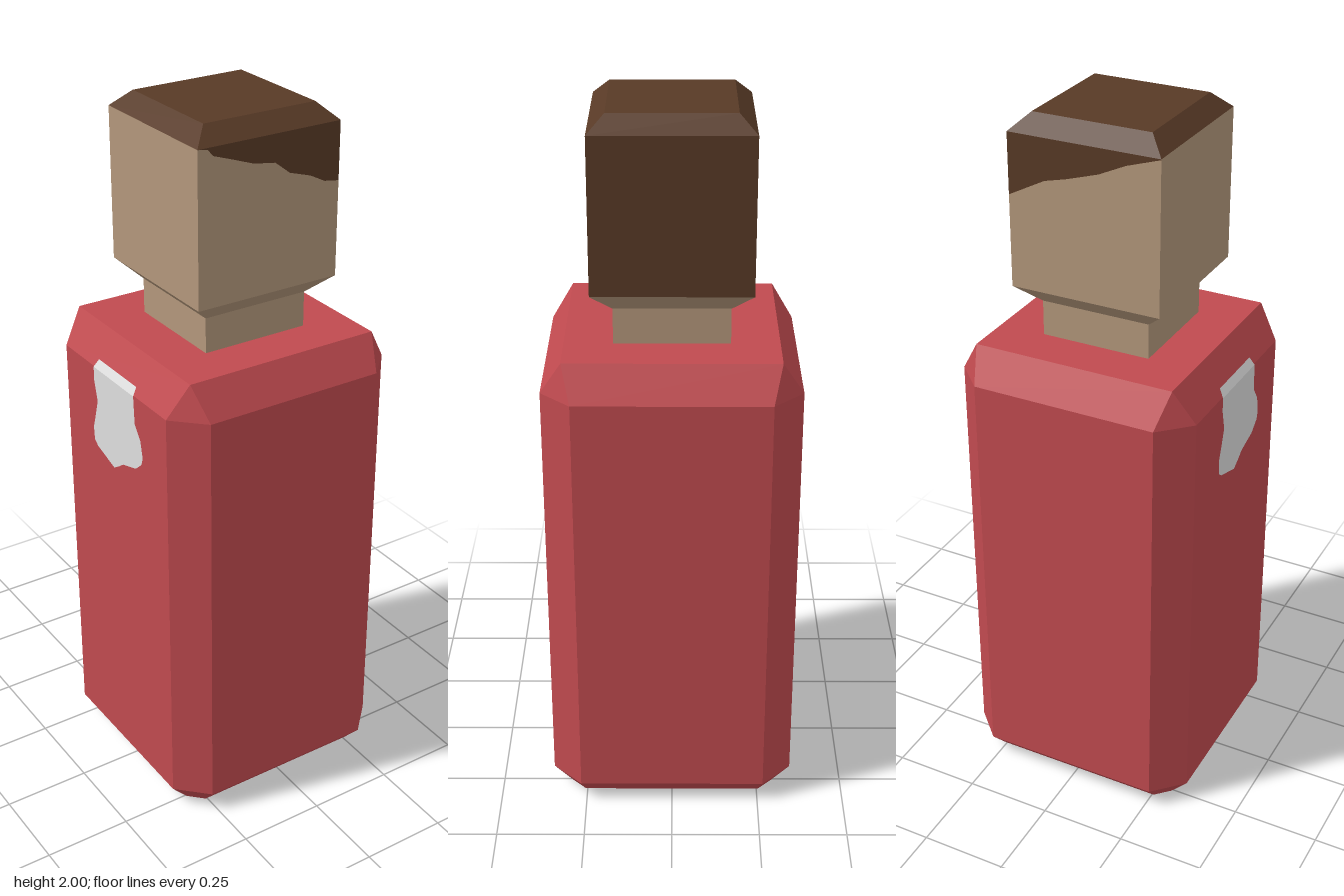
import * as THREE from 'three';

const mat = (name, color) => {
  const m = new THREE.MeshStandardMaterial({ color });
  m.name = name;
  return m;
};

// Outline of a square of half width h whose flat sides reach +-f (f = h gives sharp corners)
const ring = ([y, h, f = h]) =>
  [[h, f], [h, -f], [f, -h], [-f, -h], [-h, -f], [-h, f], [-f, h], [f, h]]
    .map(([x, z]) => new THREE.Vector3(x, y, z));

// Flat-faced solid through rings listed from bottom to top
function loft(levels, capBottom, capTop) {
  const rings = levels.map(ring);
  const pos = [];
  const tri = (a, b, c) => {
    if (new THREE.Triangle(a, b, c).getArea() > 1e-8) pos.push(...a, ...b, ...c);
  };
  for (let r = 0; r + 1 < rings.length; r++) {
    for (let i = 0; i < 8; i++) {
      const j = (i + 1) % 8, lo = rings[r], hi = rings[r + 1];
      tri(lo[i], lo[j], hi[j]);
      tri(lo[i], hi[j], hi[i]);
    }
  }
  const first = rings[0], last = rings[rings.length - 1];
  for (let i = 0; i < 8; i++) {
    const j = (i + 1) % 8;
    if (capBottom) tri(new THREE.Vector3(0, first[0].y, 0), first[j], first[i]);
    if (capTop) tri(new THREE.Vector3(0, last[0].y, 0), last[i], last[j]);
  }
  const g = new THREE.BufferGeometry();
  g.setAttribute('position', new THREE.Float32BufferAttribute(pos, 3));
  g.computeVertexNormals();
  return g;
}

const flat = (points) =>
  new THREE.ShapeGeometry(new THREE.Shape(points.map(([x, y]) => new THREE.Vector2(x, y))));

export function createModel() {
  const model = new THREE.Group();
  model.name = 'figure';
  const red = mat('red cloth', 0xc04a4f);
  const skin = mat('tan skin', 0xb3977b);
  const hair = mat('brown hair', 0x583a26);
  const grey = mat('light grey patch', 0xdedede);

  const add = (name, geometry, material, parent = model) => {
    const mesh = new THREE.Mesh(geometry, material);
    mesh.name = name;
    parent.add(mesh);
    return mesh;
  };

  // Bevelled body
  add('body', loft([[0, 0.295, 0.255], [0.06, 0.348, 0.265], [1.28, 0.348, 0.265],
    [1.375, 0.289]], true, true), red);

  // Neck flaring into the underside of the head, and the bevelled crown
  const H = 0.215, LOW = 1.53, HIGH = 1.955;
  add('neck', loft([[1.375, 0.157], [1.475, 0.157], [LOW, H]], false, false), skin);
  add('crown', loft([[HIGH, H], [2, 0.168]], false, true), hair);

  // Head sides: skin below the hairline, hair above it
  const hairlines = {
    front: [0, [[-H, 1.955], [-0.185, 1.95], [-0.17, 1.932], [-0.12, 1.915], [-0.05, 1.89],
      [0.015, 1.88], [0.06, 1.845], [0.125, 1.825], [0.17, 1.802], [H, 1.795]]],
    back: [Math.PI, [[-H, 1.787], [-0.11, 1.842], [-0.05, 1.857], [0.043, 1.886],
      [0.12, 1.922], [H, 1.953]]],
    left: [Math.PI / 2, [[-H, LOW], [H, LOW]]],
    right: [-Math.PI / 2, [[-H, HIGH], [H, HIGH]]],
  };
  for (const [side, [angle, line]] of Object.entries(hairlines)) {
    const group = new THREE.Group();
    group.name = side + 'OfHead';
    group.rotation.y = angle;
    model.add(group);
    if (side !== 'left') {
      add(side + 'Skin', flat([[-H, LOW], [H, LOW], ...[...line].reverse()]), skin, group)
        .position.z = H;
    }
    if (side !== 'right') {
      add(side + 'Hair', flat([...line, [H, HIGH], [-H, HIGH]]), hair, group).position.z = H;
    }
  }

  // Patch on the right side, folding over the shoulder bevel
  const patch = new THREE.Group();
  patch.name = 'sidePatch';
  patch.rotation.y = -Math.PI / 2;
  model.add(patch);
  add('patch', flat([[-0.105, 1.28], [-0.105, 1.24], [-0.09, 1.18], [-0.105, 1.13],
    [-0.118, 1.09], [-0.115, 1.05], [-0.098, 1.037], [-0.01, 1.01], [0.015, 1.025],
    [0.04, 1.043], [0.108, 1.063], [0.14, 1.09], [0.147, 1.113], [0.137, 1.162],
    [0.11, 1.2], [0.106, 1.28]]), grey, patch).position.z = 0.351;
  const fold = flat([[-0.105, 1.28], [0.106, 1.28], [0.1, 1.302], [-0.097, 1.302]]);
  const p = fold.attributes.position;
  for (let i = 0; i < p.count; i++) p.setZ(i, 0.351 - (p.getY(i) - 1.28) * 0.62);
  fold.computeVertexNormals();
  add('patchFold', fold, grey, patch);

  return model;
}
